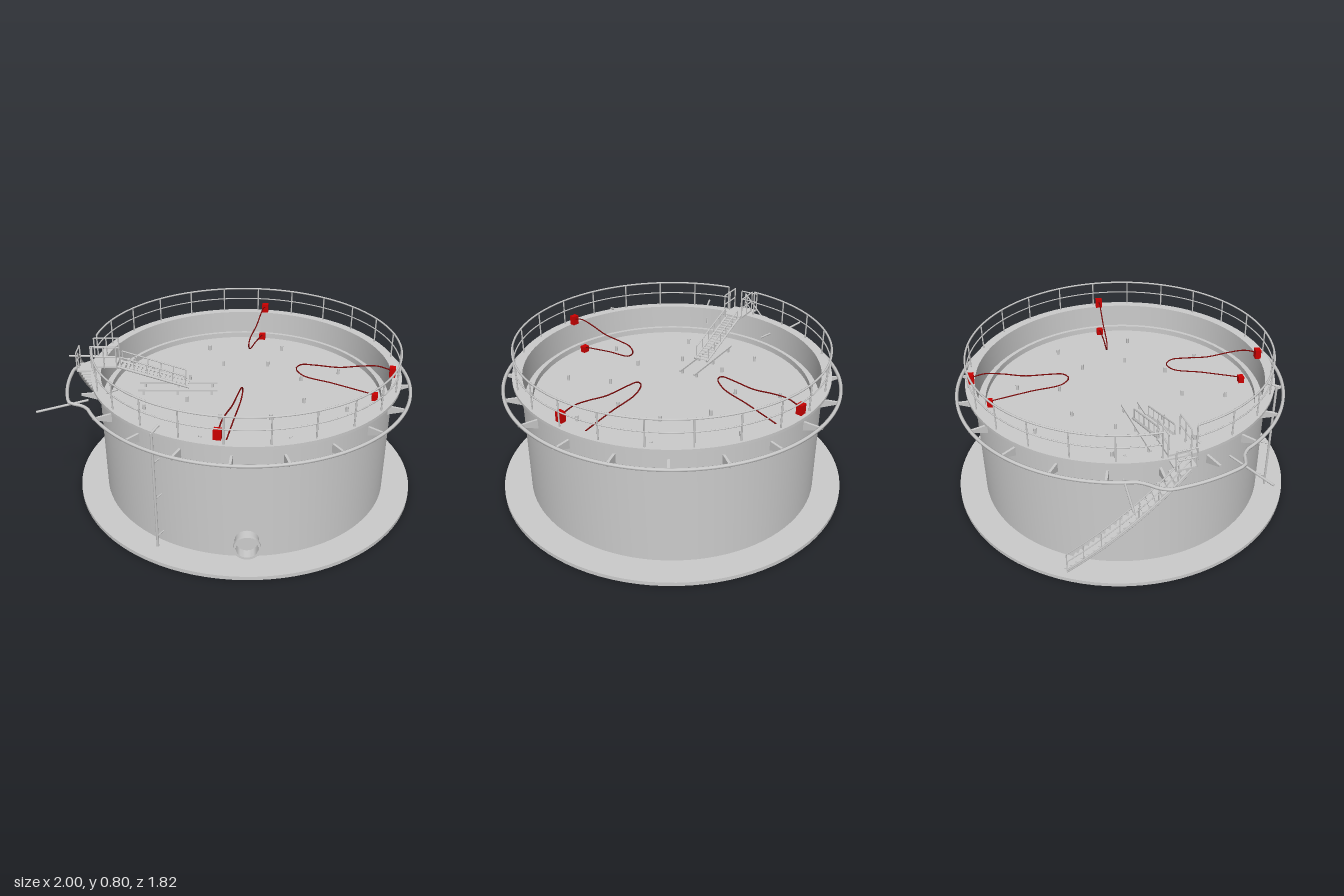
import * as THREE from 'three';
import { toCreasedNormals } from 'three/addons/utils/BufferGeometryUtils.js';

const grey = new THREE.MeshStandardMaterial({ color: 0xcccccc, side: THREE.DoubleSide });
const red = new THREE.MeshStandardMaterial({ color: 0xcc0000 });
const darkRed = new THREE.MeshStandardMaterial({ color: 0x7a0808 });
const UP = new THREE.Vector3(0, 1, 0);
const V = (x, y, z) => new THREE.Vector3(x, y, z);

// point at an angle (degrees from +x towards +z), radius and height
const polar = (deg, r, y) => {
  const a = THREE.MathUtils.degToRad(deg);
  return V(Math.cos(a) * r, y, Math.sin(a) * r);
};

function add(parent, name, geometry, material = grey, pos) {
  const mesh = new THREE.Mesh(geometry, material);
  mesh.name = name;
  if (pos) mesh.position.copy(pos);
  parent.add(mesh);
  return mesh;
}

function section(parent, name, deg = 0) {
  // local +x points outwards, local z runs along the rim
  const g = new THREE.Group();
  g.name = name;
  g.rotation.y = -THREE.MathUtils.degToRad(deg);
  parent.add(g);
  return g;
}

function rod(parent, name, p, q, r = 0.004) {
  const d = q.clone().sub(p);
  const m = add(parent, name, new THREE.CylinderGeometry(r, r, d.length(), 6), grey, p.clone().lerp(q, 0.5));
  m.quaternion.setFromUnitVectors(UP, d.normalize());
  return m;
}

const box = (parent, name, w, h, d, x, y, z, mat) =>
  add(parent, name, new THREE.BoxGeometry(w, h, d), mat, V(x, y, z));

const tube = (parent, name, pts, r, mat, segs = 64, closed = false) =>
  add(parent, name, new THREE.TubeGeometry(new THREE.CatmullRomCurve3(pts, closed), segs, r, 6, closed), mat);

const lathe = (parent, name, pts) => add(parent, name,
  toCreasedNormals(new THREE.LatheGeometry(pts.map(p => new THREE.Vector2(...p)), 96), 0.5));

function arc(from, to, r, y, steps = 120) {
  return Array.from({ length: steps + 1 }, (_, i) => polar(from + (to - from) * i / steps, r, y));
}

export function createModel() {
  const model = new THREE.Group();
  model.name = 'storageTank';
  const tank = section(model, 'tank');
  tank.position.x = 0.09;

  // foundation, shell with top flange, and floating roof
  lathe(tank, 'base', [[0, 0], [0.91, 0], [0.91, 0.02], [0, 0.02]]);
  lathe(tank, 'shell', [[0.765, 0.02], [0.765, 0.63], [0.785, 0.63], [0.785, 0.645],
    [0.805, 0.645], [0.805, 0.66], [0.755, 0.66], [0.755, 0.02]]);
  lathe(tank, 'floatingRoof', [[0, 0.47], [0.755, 0.47], [0.755, 0.525], [0.735, 0.525],
    [0.735, 0.54], [0.715, 0.54], [0.715, 0.51], [0, 0.51]]);

  // short legs standing out of the roof in two rings
  const legs = section(tank, 'roofLegs');
  for (const r of [0.33, 0.56]) for (let i = 0; i < 8; i++)
    add(legs, 'roofLeg', new THREE.CylinderGeometry(0.008, 0.008, 0.03, 10), grey, polar(i * 45, r, 0.525));

  // guard rail, open at the platform
  const rail = section(tank, 'guardRail');
  for (const [y, r] of [[0.798, 0.005], [0.735, 0.0035]])
    tube(rail, 'rail', arc(-153, 195, 0.79, y), r, grey, 160);
  for (let i = 0; i < 24; i++) rod(rail, 'railPost', polar(-153 + i * 348 / 23, 0.79, 0.655), polar(-153 + i * 348 / 23, 0.79, 0.798), 0.004);

  // pipe ring that swings out around the stair head
  const ring = [];
  for (let a = 0; a < 360; a += 3) {
    const out = THREE.MathUtils.smoothstep(a, 178, 184) * (1 - THREE.MathUtils.smoothstep(a, 207, 216));
    ring.push(polar(a, 0.855 + 0.075 * out, 0.593));
  }
  tube(tank, 'pipeRing', ring, 0.009, grey, 180, true);

  // triangular brackets under the ring
  const tri = new THREE.Shape([[0.76, 0.588], [0.76, 0.54], [0.86, 0.58], [0.86, 0.588]].map(p => new THREE.Vector2(...p)));
  const triGeo = new THREE.ExtrudeGeometry(tri, { depth: 0.012, bevelEnabled: false }).translate(0, 0, -0.006);
  for (let i = 0; i < 20; i++) add(section(tank, 'ringBracket', 9 + i * 18), 'bracketPlate', triGeo);

  // feed pipes, outside and inside the shell
  const feeds = section(tank, 'feedPipes');
  rod(feeds, 'feedPipe', V(-1.09, 0.575, -0.05), V(-0.83, 0.59, -0.052), 0.006);
  rod(feeds, 'feedPipe', V(-0.75, 0.595, -0.08), V(-0.67, 0.6, -0.092), 0.006);
  rod(feeds, 'feedPipe', V(-0.82, 0.58, -0.63), V(-0.64, 0.59, -0.53), 0.006);
  rod(feeds, 'feedPipe', V(-0.6, 0.595, -0.47), V(-0.52, 0.6, -0.42), 0.006);

  // vertical pipe hooked over the rim
  const riser = section(tank, 'riserPipe', 143.4);
  rod(riser, 'riser', V(0.815, 0.02, 0), V(0.815, 0.66, 0), 0.007);
  rod(riser, 'riserHook', V(0.815, 0.66, 0), V(0.76, 0.675, 0), 0.007);
  for (const y of [0.08, 0.3, 0.5]) rod(riser, 'riserClamp', V(0.815, y, 0), V(0.76, y, 0), 0.004);

  // manhole collar with recessed cover
  const man = section(tank, 'manhole', 111.5);
  const collar = new THREE.LatheGeometry([[0.053, 0], [0.053, 0.075], [0.065, 0.075], [0.065, 0.06],
    [0.058, 0.06], [0.058, 0]].map(p => new THREE.Vector2(...p)), 32);
  add(man, 'collar', toCreasedNormals(collar, 0.5), grey, V(0.75, 0.115, 0)).rotation.z = -Math.PI / 2;
  add(man, 'cover', new THREE.CylinderGeometry(0.053, 0.053, 0.01, 32), grey, V(0.768, 0.115, 0)).rotation.z = -Math.PI / 2;

  // curved stair on the outside of the shell
  const stair = section(tank, 'stair');
  const steps = 20;
  const at = (t, r, dy) => polar(238 - 38 * t, r, 0.04 + 0.6 * t + dy);
  for (let i = 0; i <= steps; i++) {
    const t = i / steps;
    box(section(stair, 'step', 238 - 38 * t), 'tread', 0.085, 0.006, 0.032, 0.83, 0.04 + 0.6 * t, 0);
    if (i % 3 === 0 || i === steps) rod(stair, 'stairPost', at(t, 0.875, 0), at(t, 0.875, 0.1), 0.003);
  }
  const helix = (r, dy) => Array.from({ length: 21 }, (_, i) => at(i / 20, r, dy));
  for (const r of [0.787, 0.875]) for (const dy of [-0.014, -0.004])
    tube(stair, 'stringer', helix(r, dy), 0.006);
  tube(stair, 'handrail', helix(0.875, 0.1), 0.004);
  tube(stair, 'midRail', helix(0.875, 0.05), 0.003);

  // platform across the rim with railings on both sides
  const access = section(tank, 'roofAccess', 201.5);
  box(access, 'platform', 0.13, 0.01, 0.11, 0.735, 0.675, 0);
  box(access, 'landing', 0.09, 0.008, 0.1, 0.835, 0.648, 0);
  for (const z of [-0.055, 0.055]) {
    for (const x of [0.67, 0.735, 0.8]) rod(access, 'platformPost', V(x, 0.67, z), V(x, 0.79, z), 0.004);
    for (const y of [0.735, 0.79]) rod(access, 'platformRail', V(0.67, y, z), V(0.8, y, z), 0.004);
  }
  for (const z of [-0.05, 0.05]) rod(access, 'landingPost', V(0.878, 0.645, z), V(0.878, 0.75, z), 0.004);
  for (const y of [0.7, 0.75]) rod(access, 'landingRail', V(0.878, y, -0.05), V(0.878, y, 0.05), 0.004);

  // rolling ladder down to the runway on the roof
  const down = t => V(0.67 - 0.37 * t, 0.67 - 0.12 * t, 0);
  const side = (t, dy, z) => down(t).add(V(0, dy, z));
  for (const z of [-0.038, 0.038]) {
    rod(access, 'ladderStringer', side(0, 0, z), side(1, 0, z), 0.007);
    rod(access, 'ladderHandrail', side(0.05, 0.06, z), side(0.95, 0.06, z), 0.004);
    for (let i = 0; i < 6; i++) rod(access, 'ladderPost', side(0.05 + i * 0.18, 0, z), side(0.05 + i * 0.18, 0.06, z), 0.003);
    box(access, 'runwayRail', 0.42, 0.01, 0.01, 0.36, 0.535, z * 1.15);
    for (const x of [0.18, 0.36, 0.54]) box(access, 'runwayFoot', 0.012, 0.025, 0.012, x, 0.52, z * 1.15);
  }
  for (let i = 0; i < 18; i++) {
    const p = down((i + 0.5) / 18);
    box(access, 'ladderTread', 0.014, 0.004, 0.076, p.x, p.y, 0);
  }

  // red units on rim and roof, joined by a looping cable
  const units = [[0.4, -0.66, 0.355, -0.595, 0.12, -0.25], [0.65, 0.385, 0.59, 0.34, 0.24, 0.11],
    [-0.395, 0.635, -0.35, 0.57, -0.11, 0.23]];
  for (const [ox, oz, ix, iz, lx, lz] of units) {
    const g = section(tank, 'cableUnit');
    const angle = -Math.atan2(oz, ox);
    box(g, 'rimBox', 0.03, 0.05, 0.036, ox, 0.685, oz, red).rotation.y = angle;
    box(g, 'roofBox', 0.03, 0.035, 0.036, ix, 0.53, iz, red).rotation.y = angle;
    const on = (t, y) => V(ox + (lx - ox) * t, y, oz + (lz - oz) * t);
    tube(g, 'cable', [on(0, 0.69), on(0.15, 0.708), on(0.32, 0.7), on(0.55, 0.68), on(0.8, 0.68), on(0.95, 0.675),
      on(1, 0.65), on(0.93, 0.615), on(0.6, 0.585), V(ix, 0.54, iz)], 0.0035, darkRed);
  }
  return model;
}
